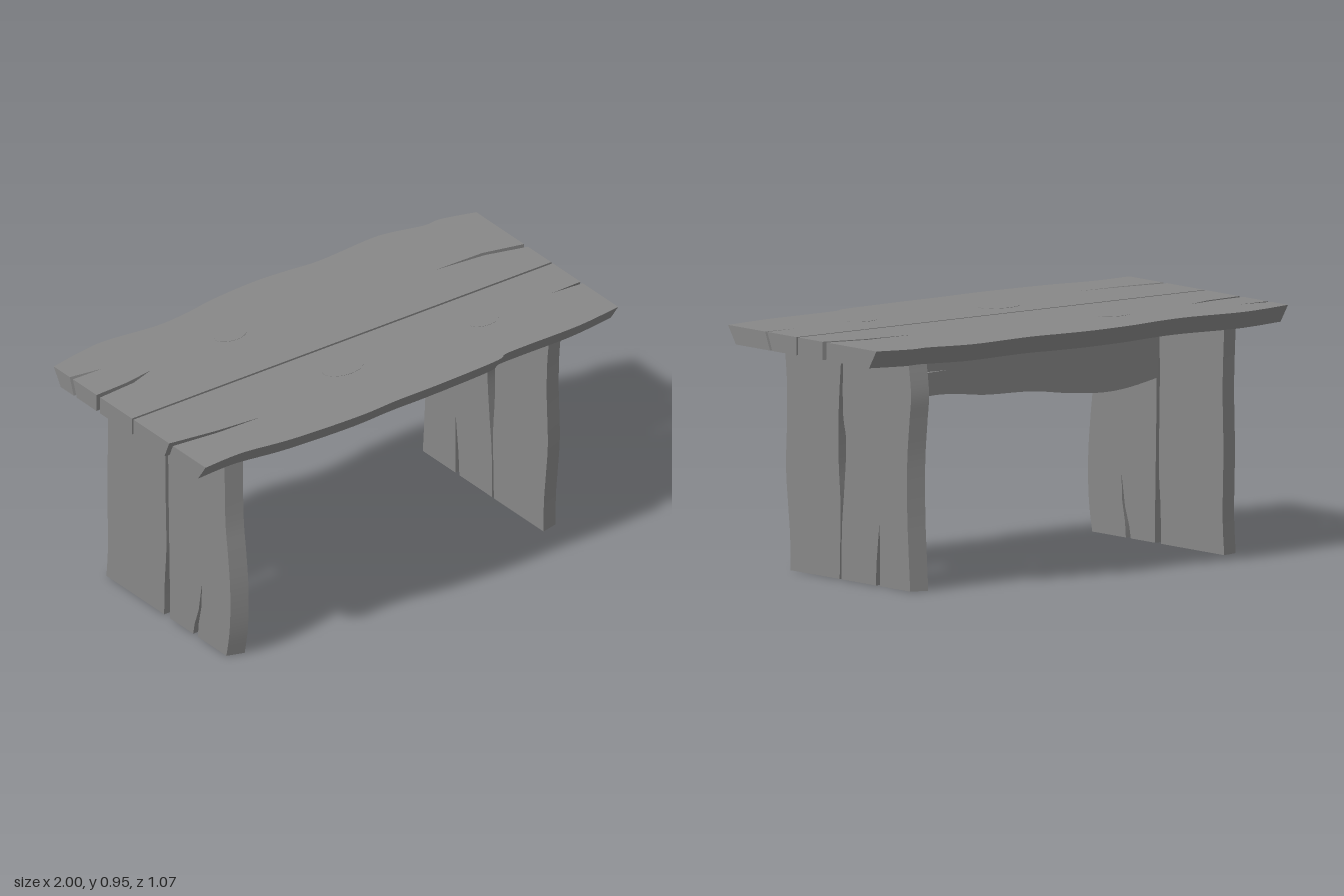
import * as THREE from 'three';
import { toCreasedNormals } from 'three/addons/utils/BufferGeometryUtils.js';

const material = new THREE.MeshStandardMaterial({ color: 0x878787 });
const X = new THREE.Vector3(1, 0, 0), Y = new THREE.Vector3(0, 1, 0), Z = new THREE.Vector3(0, 0, 1);
const basis = (a, b, c) => new THREE.Matrix4().makeBasis(a, b, c);
const neg = (v) => v.clone().negate();

// Smooth wavy edge through a few [u, v] points; s is how far v moves on the narrow face
const wave = (pts, s = 0) =>
  new THREE.SplineCurve(pts.map(([u, v]) => new THREE.Vector2(u, v)))
    .getPoints(pts.length > 2 ? pts.length * 5 : 1)
    .map((p) => [p.x, p.y, s]);

// Split in the end of a board, listed along the outline; a point may carry its own slant
const crack = (pts, s = 0) => pts.map(([u, v, slant = s]) => [u, v, slant]);

// Board with the wide face at w = t and the narrow face at w = 0.
// The outline runs along the lower edge, the far end, the upper edge and the near end.
function board(name, t, lower, upper, frame, endCracks = [], startCracks = []) {
  const pts = [...lower, ...endCracks.flat(), ...[...upper].reverse(), ...startCracks.flat()];
  const contour = pts.map(([u, v]) => new THREE.Vector2(u, v));
  const front = pts.map(([u, v]) => [u, v, t]);
  const back = pts.map(([u, v, s]) => [u, v + s, 0]);
  const pos = [];
  for (const [a, b, c] of THREE.ShapeUtils.triangulateShape(contour, [])) {
    pos.push(...front[a], ...front[b], ...front[c], ...back[c], ...back[b], ...back[a]);
  }
  pts.forEach((_, i) => {
    const j = (i + 1) % pts.length;
    pos.push(...front[i], ...back[i], ...back[j], ...front[i], ...back[j], ...front[j]);
  });
  const geo = new THREE.BufferGeometry();
  geo.setAttribute('position', new THREE.Float32BufferAttribute(pos, 3));
  geo.applyMatrix4(frame);
  const mesh = new THREE.Mesh(toCreasedNormals(geo, 0.5), material);
  mesh.name = name;
  return mesh;
}

function tabletop() {
  const group = new THREE.Group();
  group.name = 'tabletop';
  const frame = basis(X, neg(Z), Y).setPosition(0, 0.88, 0);

  group.add(board('backPlank', 0.07,
    wave([[-1, -0.028], [1, -0.028]]),
    wave([[-1, 0.47], [-0.85, 0.5], [-0.72, 0.51], [-0.5, 0.485], [-0.35, 0.495], [-0.2, 0.52], [0, 0.533],
      [0.15, 0.525], [0.3, 0.512], [0.55, 0.53], [0.65, 0.52], [0.78, 0.488], [0.86, 0.49], [1, 0.45]], -0.045),
    frame,
    [crack([[1, 0.12], [0.83, 0.167], [0.61, 0.189, -0.012], [0.83, 0.186, -0.01], [1, 0.145]])],
    [crack([[-1, 0.368], [-0.86, 0.346], [-1, 0.348]], -0.025),
      crack([[-1, 0.197], [-0.85, 0.204], [-0.72, 0.225, -0.012], [-0.83, 0.188], [-1, 0.174]])]));

  group.add(board('frontPlank', 0.07,
    wave([[-1, -0.498], [-0.82, -0.49], [-0.6, -0.52], [-0.3, -0.533], [-0.1, -0.523], [0.1, -0.521],
      [0.38, -0.508], [0.44, -0.486], [0.55, -0.482], [0.75, -0.482], [0.86, -0.474], [1, -0.455]], 0.048),
    wave([[-1, -0.038], [1, -0.038]]),
    frame,
    [crack([[1, -0.229], [0.86, -0.219], [1, -0.215]], 0.03)],
    [crack([[-1, -0.266], [-0.8, -0.296], [-0.6, -0.314], [-0.8, -0.31], [-1, -0.29]], 0.03)]));

  // Knots run right through the planks and stand just proud of both faces
  for (const [x, z, rx, rz] of [[-0.315, -0.26, 0.07, 0.043], [-0.12, 0.195, 0.09, 0.058], [0.525, 0.23, 0.065, 0.04]]) {
    const knot = new THREE.Mesh(new THREE.CylinderGeometry(1, 1, 0.072, 32), material);
    knot.scale.set(rx, 1, rz);
    knot.position.set(x, 0.915, z);
    knot.name = 'knot';
    group.add(knot);
  }
  return group;
}

// Two upright boards with a narrow gap; u is height and the wide face looks inwards
function leg(name, frame, { split, splitGap, splitCrack, plain, plainGap }) {
  const group = new THREE.Group();
  group.name = name;
  group.add(
    board('splitBoard', 0.07, wave(splitGap), wave(split, -0.023), frame, [], [crack(splitCrack)]),
    board('plainBoard', 0.07, wave(plain, 0.017), wave(plainGap), frame));
  return group;
}

export function createModel() {
  const model = new THREE.Group();
  model.name = 'table';
  model.add(tabletop());

  model.add(leg('leftLeg', basis(Y, neg(Z), neg(X)).setPosition(0.8, 0, 0), {
    split: [[0, 0.43], [0.15, 0.42], [0.3, 0.412], [0.5, 0.412], [0.65, 0.425], [0.76, 0.435], [0.88, 0.42]],
    splitGap: [[0, -0.012], [0.2, -0.009], [0.35, 0.005], [0.53, 0.017], [0.65, -0.003], [0.88, -0.003]],
    splitCrack: [[0, 0.223], [0.12, 0.223], [0.25, 0.22], [0.1, 0.203], [0, 0.197]],
    plain: [[0, -0.34], [0.13, -0.342], [0.25, -0.354], [0.4, -0.367], [0.6, -0.36], [0.75, -0.363], [0.88, -0.378]],
    plainGap: [[0, -0.023], [0.28, -0.018], [0.45, -0.029], [0.65, -0.029], [0.88, -0.012]],
  }));

  model.add(leg('rightLeg', basis(Y, Z, X).setPosition(-0.81, 0, 0), {
    split: [[0, 0.4], [0.1, 0.418], [0.2, 0.425], [0.32, 0.423], [0.45, 0.41], [0.6, 0.393], [0.88, 0.388]],
    splitGap: [[0, 0.018], [0.15, 0.016], [0.3, 0.013], [0.55, 0.008], [0.88, 0.003]],
    splitCrack: [[0, 0.195], [0.06, 0.2], [0.14, 0.217], [0.25, 0.222], [0.12, 0.2], [0.05, 0.175], [0, 0.165]],
    plain: [[0, -0.405], [0.15, -0.395], [0.4, -0.4], [0.65, -0.395], [0.88, -0.405]],
    plainGap: [[0, -0.02], [0.15, -0.016], [0.3, -0.006], [0.5, -0.01], [0.7, -0.012], [0.88, -0.006]],
  }));

  // Upright rail between the legs, with a long split at one end
  model.add(board('rail', 0.065,
    wave([[-0.74, 0.64], [-0.6, 0.615], [-0.47, 0.607], [-0.3, 0.62], [-0.12, 0.643], [0.1, 0.65],
      [0.25, 0.667], [0.36, 0.671], [0.5, 0.661], [0.73, 0.637]]),
    wave([[-0.74, 0.877], [-0.3, 0.877], [0.1, 0.869], [0.4, 0.875], [0.73, 0.88]]),
    new THREE.Matrix4(),
    [crack([[0.73, 0.75], [0.5, 0.757], [0.29, 0.757, 0.006], [0.5, 0.765], [0.73, 0.764]])]));
  return model;
}
